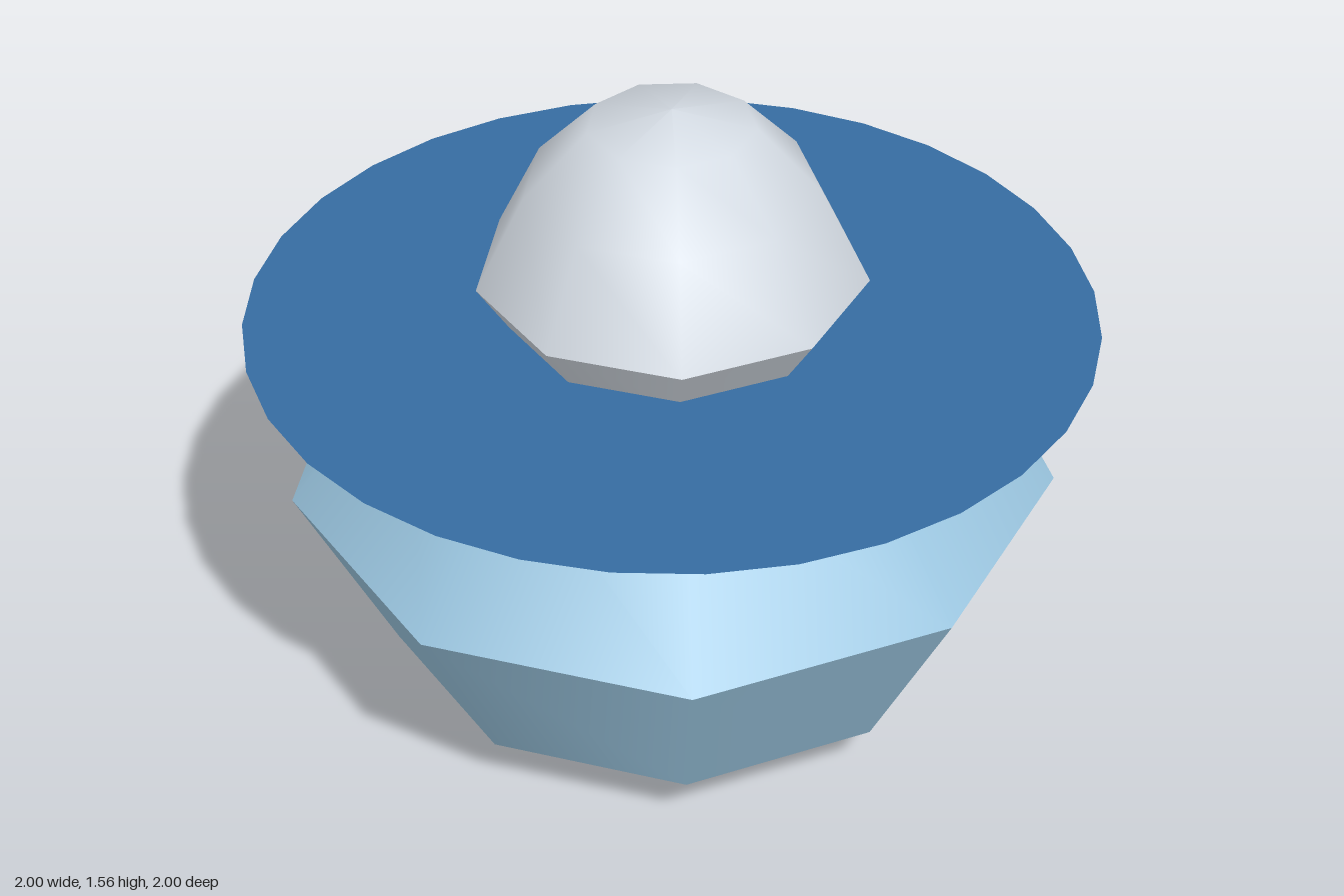
import * as THREE from 'three';

const mat = (name, color, side = THREE.FrontSide) => {
  const m = new THREE.MeshStandardMaterial({ color, side });
  m.name = name;
  return m;
};

// Smooth band turned around y; the first corner of the polygon lies on +x
function band(name, profile, sides, material) {
  const points = profile.map(([r, y]) => new THREE.Vector2(r, y));
  const mesh = new THREE.Mesh(new THREE.LatheGeometry(points, sides, Math.PI / 2), material);
  mesh.name = name;
  return mesh;
}

export function createModel() {
  const paleBlue = mat('paleBlue', 0x9ac5df);
  const deepBlue = mat('deepBlue', 0x366ca1, THREE.DoubleSide);
  const lightGrey = mat('lightGrey', 0xd2d9e1);
  const model = new THREE.Group();
  model.name = 'saucer';

  // Nine-sided hull: separate bands keep the horizontal edges sharp
  const hull = new THREE.Group();
  hull.name = 'hull';
  hull.add(
    band('hullBottom', [[0, 0], [0.69, 0.157]], 9, paleBlue),
    band('hullLower', [[0.69, 0.157], [0.92, 0.616]], 9, paleBlue),
    band('hullUpper', [[0.92, 0.616], [0.615, 1.0]], 9, paleBlue),
    band('hullTop', [[0.615, 1.0], [0, 1.004]], 9, paleBlue),
  );

  // Thin, almost flat round disc
  const disc = band('disc', [[1, 1.026], [0, 1.03]], 32, deepBlue);

  // Nine-sided dome with an undercut foot
  const dome = new THREE.Group();
  dome.name = 'dome';
  dome.add(
    band('domeFoot', [[0.385, 1.027], [0.46, 1.14]], 9, lightGrey),
    band('domeShell', [[0.46, 1.14], [0.345, 1.367], [0.195, 1.521], [0, 1.558]], 9, lightGrey),
  );

  model.add(hull, disc, dome);
  return model;
}
